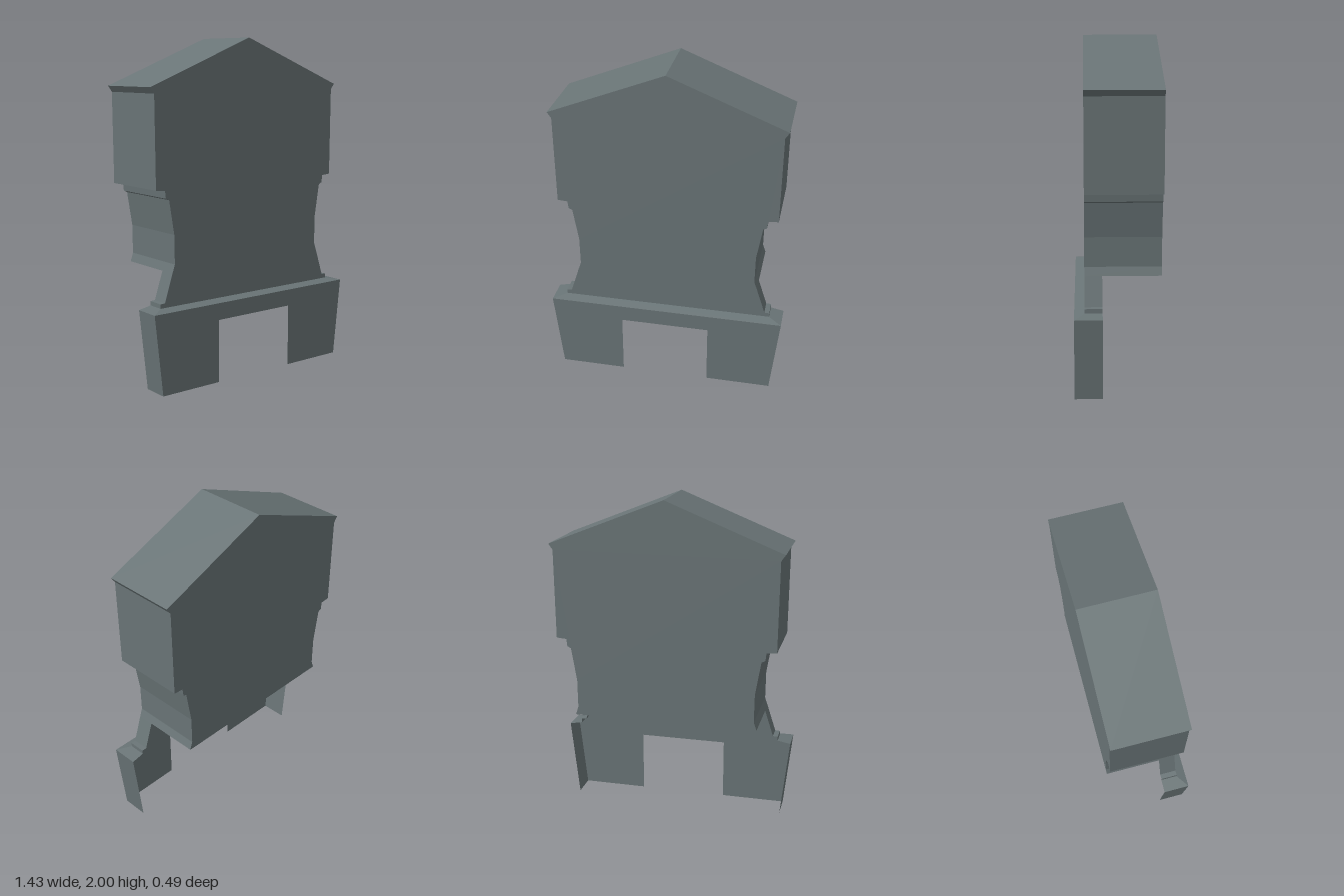
import * as THREE from 'three';

const FRONT = 0.19, BACK = -0.245, MID = 0.09, SKIRT = 0.248;

// Left half of the outline, from the roof ridge down to the foot of the panel
const upper = [
  [0, 2], [0.69, 1.725], [0.665, 1.69], [0.66, 1.16], [0.6, 1.155],
  [0.595, 1.11], [0.573, 1.1], [0.54, 0.9], [0.538, 0.73], [0.555, 0.68],
];
const lower = [[0.555, 0.68], [0.608, 0.517], [0.638, 0.515], [0.638, 0.49]];

const mirror = (pts) => pts.map(([x, ...rest]) => [-x, ...rest]);

// Full closed outline from a half outline
function outline(half) {
  const pts = [...half, ...mirror(half).reverse()];
  return new THREE.Shape(pts.map(([x, y]) => new THREE.Vector2(x, y)));
}

// Flat-faced ribbon joining two rows of 3D points
function ribbon(a, b) {
  const pos = [];
  for (let i = 0; i < a.length - 1; i++) {
    pos.push(...a[i], ...b[i], ...b[i + 1], ...a[i], ...b[i + 1], ...a[i + 1]);
  }
  const g = new THREE.BufferGeometry();
  g.setAttribute('position', new THREE.Float32BufferAttribute(pos, 3));
  g.computeVertexNormals();
  return g;
}

export function createModel() {
  const group = new THREE.Group();
  const slate = new THREE.MeshStandardMaterial({ color: 0x697476, side: THREE.DoubleSide });
  slate.name = 'slate grey';

  const add = (name, geometry) => {
    const mesh = new THREE.Mesh(geometry, slate);
    mesh.name = name;
    group.add(mesh);
    return mesh;
  };
  const atZ = (pts, z) => pts.map(([x, y]) => [x, y, z]);

  // Gabled front panel
  add('frontPanel', new THREE.ShapeGeometry(outline([...upper, ...lower.slice(1)]))).position.z = FRONT;

  // Back panel, facing backwards and stopping above the open underside
  const back = add('backPanel', new THREE.ShapeGeometry(outline(upper)));
  back.rotation.y = Math.PI;
  back.position.z = BACK;

  // Roof, side walls and side ledges
  for (const side of [1, -1]) {
    const tag = side > 0 ? 'left' : 'right';
    const wall = (name, pts, z) => {
      const p = side > 0 ? pts : mirror(pts);
      const rows = [atZ(p, FRONT), atZ(p, z)];
      if (side > 0) rows.reverse();
      add(tag + name, ribbon(...rows));
    };
    wall('Roof', upper.slice(0, 2), BACK);
    wall('SideWall', upper.slice(1), BACK);
    wall('LowerWall', lower, MID);
  }

  // Skirt front with a wide doorway
  const skirt = new THREE.Shape([
    [-0.665, 0], [-0.27, 0], [-0.27, 0.375], [0.27, 0.375], [0.27, 0], [0.665, 0],
    [0.717, 0.475], [-0.717, 0.475],
  ].map(([x, y]) => new THREE.Vector2(x, y)));
  add('skirtFront', new THREE.ShapeGeometry(skirt)).position.z = SKIRT;

  // Flared skirt sides, and the sloping ledge running round the top
  const rim = [[0.717, 0.475, MID], [0.717, 0.475, SKIRT]];
  const foot = [[0.665, 0, MID], [0.665, 0, SKIRT]];
  const inner = [[0.638, 0.49, MID], [0.638, 0.49, FRONT]];
  add('leftSkirtSide', ribbon(foot, rim));
  add('rightSkirtSide', ribbon(mirror(rim), mirror(foot)));
  add('skirtLedge', ribbon(
    [...inner, ...mirror(inner).reverse()],
    [...rim, ...mirror(rim).reverse()],
  ).scale(1, 1, 1));

  // Correct the ledge so that its upper side is the front
  const ledge = group.getObjectByName('skirtLedge').geometry;
  if (ledge.attributes.normal.getY(0) < 0) {
    ledge.dispose();
    group.getObjectByName('skirtLedge').geometry = ribbon(
      [...rim, ...mirror(rim).reverse()],
      [...inner, ...mirror(inner).reverse()],
    );
  }
  return group;
}
